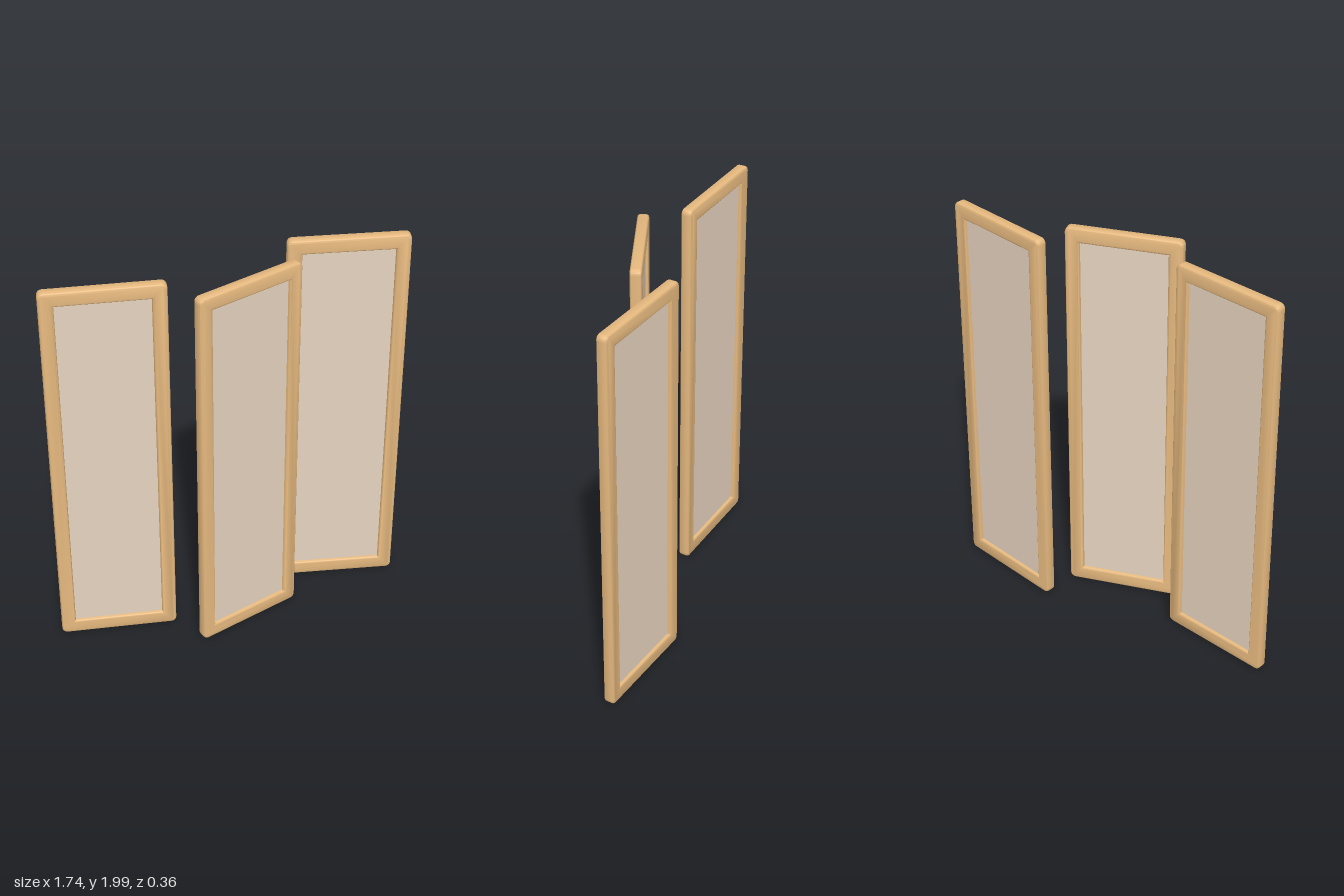
import * as THREE from 'three';
import { toCreasedNormals } from 'three/addons/utils/BufferGeometryUtils.js';

const wood = new THREE.MeshStandardMaterial({ color: 0xe5b87e });
wood.name = 'warm wood';
const fabric = new THREE.MeshStandardMaterial({ color: 0xe6d3bf });
fabric.name = 'beige fabric';

const HEIGHT = 1.99, STILE = 0.07, RAIL = 0.074, DEPTH = 0.054, BEVEL = 0.013;

// Rectangle with rounded corners, centred on the origin
function roundedRect(target, w, h, r) {
  const x = w / 2 - r, y = h / 2 - r;
  target.absarc(x, y, r, 0, Math.PI / 2);
  target.absarc(-x, y, r, Math.PI / 2, Math.PI);
  target.absarc(-x, -y, r, Math.PI, Math.PI * 1.5);
  target.absarc(x, -y, r, Math.PI * 1.5, Math.PI * 2);
  target.closePath();
  return target;
}

// Seamless frame with softly rounded edges, inside and out
function frameGeometry(width) {
  const outline = roundedRect(new THREE.Shape(), width, HEIGHT, 0.026);
  const w = width / 2 - STILE, h = HEIGHT / 2 - RAIL;
  outline.holes.push(new THREE.Path([[-w, -h], [-w, h], [w, h], [w, -h]].map(([x, y]) => new THREE.Vector2(x, y))));
  const geometry = new THREE.ExtrudeGeometry(outline, {
    depth: DEPTH - 2 * BEVEL,
    bevelThickness: BEVEL,
    bevelSize: BEVEL,
    bevelOffset: -BEVEL,
    bevelSegments: 4,
    curveSegments: 5,
  });
  geometry.translate(0, 0, BEVEL - DEPTH / 2);
  return toCreasedNormals(geometry, 0.7);
}

// One framed panel, centred on its own axes
function makePanel(name, width) {
  const panel = new THREE.Group();
  panel.name = name;

  const frame = new THREE.Mesh(frameGeometry(width), wood);
  frame.name = 'frame';

  // Recessed fabric infill, visible from both sides
  const infill = new THREE.Mesh(
    new THREE.BoxGeometry(width - STILE * 1.6, HEIGHT - RAIL * 1.6, 0.022), fabric);
  infill.name = 'fabricInfill';

  panel.add(frame, infill);
  return panel;
}

export function createModel() {
  const screen = new THREE.Group();
  screen.name = 'foldingScreen';

  // name, width, x, z, turn about the vertical
  const layout = [
    ['rightPanel', 0.571, -0.59, -0.092, -0.235],
    ['middlePanel', 0.556, 0.026, 0.092, 0.23],
    ['leftPanel', 0.572, 0.587, -0.073, -0.275],
  ];
  for (const [name, width, x, z, turn] of layout) {
    const panel = makePanel(name, width);
    panel.position.set(x, 0.005 + HEIGHT / 2, z);
    panel.rotation.y = turn;
    screen.add(panel);
  }
  return screen;
}
